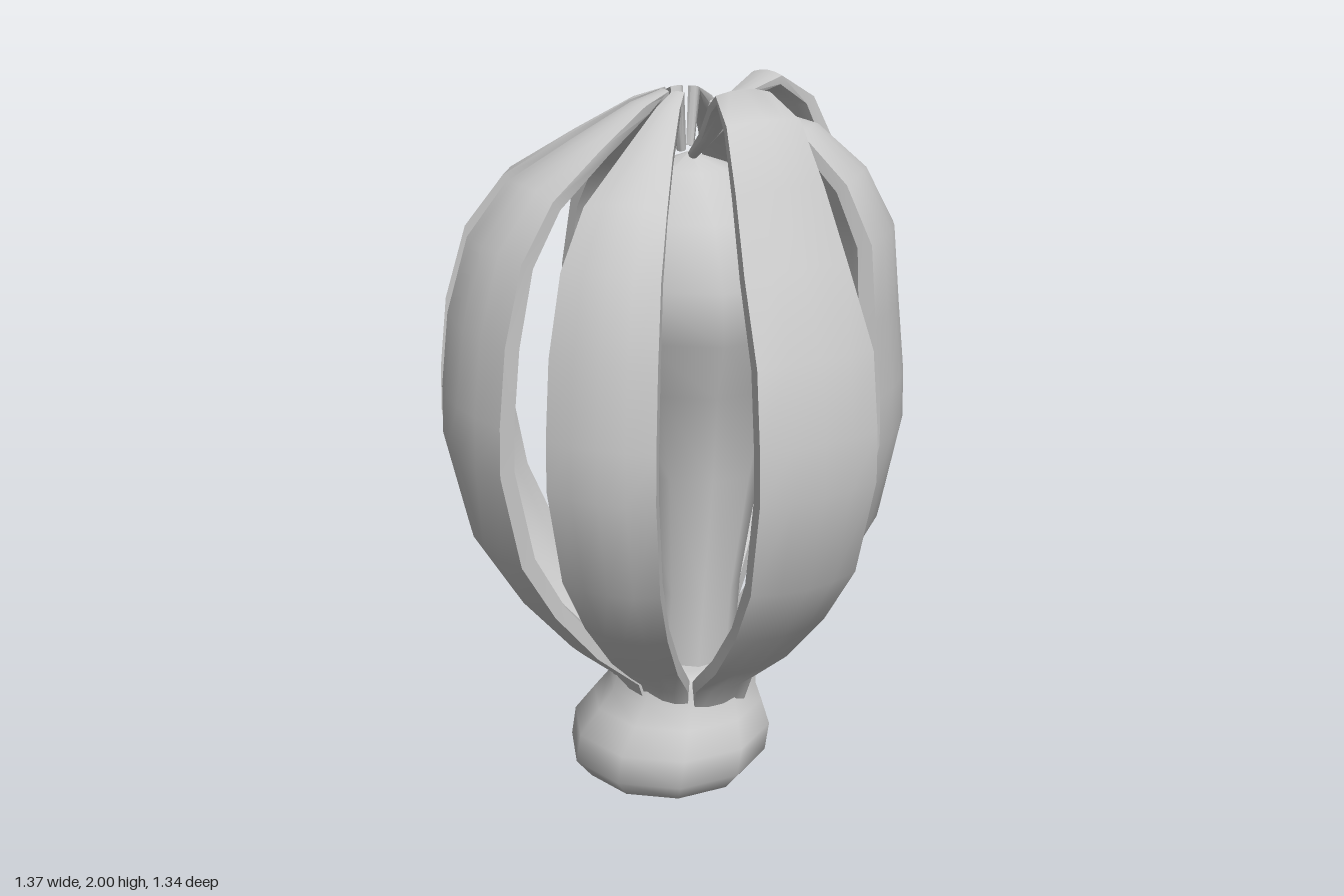
import * as THREE from 'three';
import { toCreasedNormals } from 'three/addons/utils/BufferGeometryUtils.js';

const material = new THREE.MeshStandardMaterial({ color: 0xcccccc });

// Rows of a petal: radius share, height, width share, thickness
const lower = [
  [0.25, 0.22, 0.44, 0.06], [0.325, 0.36, 0.53, 0.06], [0.54, 0.48, 0.66, 0.07],
  [0.75, 0.64, 0.8, 0.07], [0.91, 0.81, 0.92, 0.08], [1, 1.07, 1, 0.08],
  [0.995, 1.2, 1, 0.08], [0.96, 1.4, 0.98, 0.08],
];
const foldedTip = [
  [0.87, 1.6, 0.9, 0.07], [0.71, 1.74, 0.75, 0.06], [0.45, 1.85, 0.45, 0.05],
  [0.22, 1.94, 0.22, 0.04], [0.1, 1.97, 0.12, 0.04], [0.05, 1.82, 0.08, 0.02],
];
const roundTip = [
  [0.93, 1.6, 0.94, 0.07], [0.8, 1.75, 0.8, 0.06], [0.58, 1.87, 0.57, 0.05],
  [0.28, 1.93, 0.27, 0.04], [0.12, 1.94, 0.13, 0.04], [0.05, 1.82, 0.08, 0.02],
];
const archedTip = [
  [0.82, 1.6, 0.87, 0.07], [0.7, 1.78, 0.74, 0.06], [0.58, 1.93, 0.62, 0.05],
  [0.43, 1.99, 0.46, 0.04], [0.28, 1.95, 0.24, 0.03], [0.16, 1.87, 0.13, 0.03],
  [0.05, 1.81, 0.08, 0.02],
];

// Petal edges at the widest point, seen from above: [ax, az, bx, bz, bulge, tip rows]
const petals = [
  [-0.435, 0.5, -0.05, 0.665, 0.035, foldedTip],
  [0.11, 0.665, 0.385, 0.575, 0.025, foldedTip],
  [0.57, 0.41, 0.685, 0.085, 0.025, archedTip],
  [0.53, -0.16, 0.38, -0.49, 0.025, roundTip],
  [0.265, -0.6, 0, -0.67, 0.02, archedTip],
  [-0.12, -0.62, -0.37, -0.565, 0.02, foldedTip],
  [-0.55, -0.49, -0.635, -0.17, 0.025, foldedTip],
  [-0.685, 0.05, -0.57, 0.38, 0.025, foldedTip],
];

// Thick curved strip: a closed loop of outer and inner points per row
function petalGeometry([ax, az, bx, bz, bulge, tip]) {
  const rows = [...lower, ...tip];
  const mid = new THREE.Vector3((ax + bx) / 2, 0, (az + bz) / 2);
  const out = mid.clone().normalize();
  const half = new THREE.Vector3((bx - ax) / 2, 0, (bz - az) / 2);
  const R = mid.length();
  const steps = [-1, -0.5, 0, 0.5, 1];
  const loop = steps.length * 2;
  const pos = [], index = [];

  rows.forEach(([r, y, w, thick], i) => {
    const p = rows[Math.max(i - 1, 0)], n = rows[Math.min(i + 1, rows.length - 1)];
    const dr = (n[0] - p[0]) * R, dy = n[1] - p[1], len = Math.hypot(dr, dy);
    const nr = dy / len, ny = -dr / len; // outward normal of the profile
    const add = (u, depth) => {
      const offset = bulge * w * (1 - u * u) - depth;
      const v = out.clone().multiplyScalar(r * R + nr * offset).addScaledVector(half, u * w);
      pos.push(v.x, y + ny * offset, v.z);
    };
    steps.forEach((u) => add(u, 0));
    [...steps].reverse().forEach((u) => add(u * 0.94, thick * (1 - 0.4 * u * u)));
  });

  for (let i = 0; i < rows.length - 1; i++) {
    for (let j = 0; j < loop; j++) {
      const a = i * loop + j, b = i * loop + (j + 1) % loop;
      index.push(a, b, b + loop, a, b + loop, a + loop);
    }
  }
  // End caps
  const last = (rows.length - 1) * loop;
  for (let j = 1; j < loop - 1; j++) {
    index.push(0, j + 1, j, last, last + j, last + j + 1);
  }
  const g = new THREE.BufferGeometry();
  g.setAttribute('position', new THREE.Float32BufferAttribute(pos, 3));
  g.setIndex(index);
  return toCreasedNormals(g, 1.1);
}

// Turned shape whose rings are shifted sideways by a rule
function turned(profile, sides, shift) {
  const g = new THREE.LatheGeometry(profile.map(([r, y]) => new THREE.Vector2(r, y)), sides, 0.2);
  const p = g.attributes.position;
  for (let i = 0; i < p.count; i++) {
    const [dx, dz] = shift(p.getY(i));
    p.setX(i, p.getX(i) + dx);
    p.setZ(i, p.getZ(i) + dz);
  }
  return g;
}

export function createModel() {
  const group = new THREE.Group();
  const add = (name, geometry) => {
    const mesh = new THREE.Mesh(geometry, material);
    mesh.name = name;
    group.add(mesh);
  };

  // Swollen foot, leaning slightly to one side at the bottom
  add('base', turned(
    [[0, 0.005], [0.12, 0.012], [0.24, 0.045], [0.285, 0.1], [0.285, 0.18],
      [0.245, 0.25], [0.215, 0.3], [0.208, 0.345], [0.195, 0.38], [0.14, 0.38], [0, 0.39]],
    10, (y) => {
      const k = THREE.MathUtils.clamp((0.33 - y) / 0.2, 0, 1);
      return [-0.025 * k, 0.01 + 0.045 * k];
    }));

  // Inner pod on a narrow stem
  add('core', turned(
    [[0.13, 0.34], [0.13, 0.6], [0.17, 0.95], [0.22, 1.2], [0.3, 1.36],
      [0.31, 1.5], [0.25, 1.66], [0.12, 1.77], [0, 1.81]],
    9, (y) => [0.04 * THREE.MathUtils.clamp((y - 0.4) * (1.85 - y) * 2, 0, 1), -0.01]));

  // Petals closing over the pod
  petals.forEach((p, i) => add(`petal${i + 1}`, petalGeometry(p)));
  return group;
}
